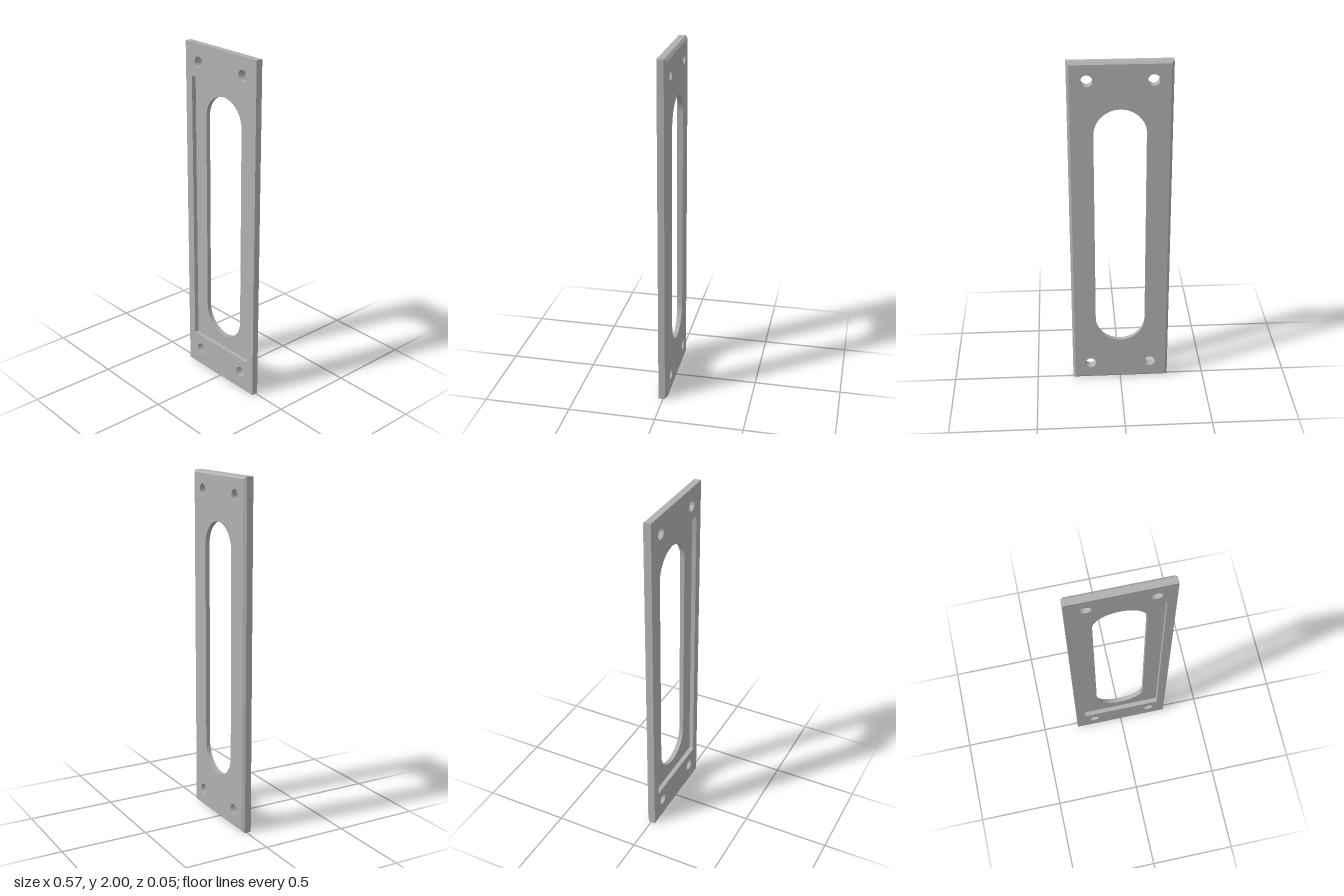
import * as THREE from 'three';
import { toCreasedNormals } from 'three/addons/utils/BufferGeometryUtils.js';

const WIDTH = 0.57, HEIGHT = 2, FRONT = 0.026, BACK = -0.026, FLOOR = 0, CHAMFER = 0.014;

// Counter-clockwise rounded rectangle; a radius of half the width gives a slot or a circle
function loop(w, h, r = 0, cx = 0, cy = 1, steps = 16) {
  const points = [];
  const corners = [[1, 1], [-1, 1], [-1, -1], [1, -1]];
  corners.forEach(([sx, sy], k) => {
    for (let i = 0; i <= (r ? steps : 0); i++) {
      const a = (k + i / steps) * Math.PI / 2;
      const p = new THREE.Vector2(
        cx + sx * (w / 2 - r) + r * Math.cos(a) * (r ? 1 : 0),
        cy + sy * (h / 2 - r) + r * Math.sin(a) * (r ? 1 : 0));
      const repeated = points.some((q) => q.distanceTo(p) < 1e-5);
      if (!repeated) points.push(p);
    }
  });
  return points;
}

// Flat face with holes
function face(outline, holes, z, backward = false) {
  const shape = new THREE.Shape(outline);
  shape.holes = holes.map((h) => new THREE.Path(h));
  const geometry = new THREE.ShapeGeometry(shape);
  if (backward) geometry.scale(-1, 1, 1).rotateY(Math.PI).scale(1, 1, 1);
  if (backward) {
    // Scale and turn leave the outline in place, so only the winding is reversed
    const index = geometry.index.array;
    for (let i = 0; i < index.length; i += 3) [index[i], index[i + 1]] = [index[i + 1], index[i]];
    geometry.computeVertexNormals();
  }
  return geometry.translate(0, 0, z);
}

// Wall joining a front loop to a back loop; inward walls line a hole
function wall(front, zFront, back, zBack, inward = false) {
  const positions = [];
  const n = front.length;
  for (let i = 0; i < n; i++) {
    const j = (i + 1) % n;
    const a = [front[i].x, front[i].y, zFront], b = [back[i].x, back[i].y, zBack];
    const c = [back[j].x, back[j].y, zBack], d = [front[j].x, front[j].y, zFront];
    const quad = inward ? [a, c, b, a, d, c] : [a, b, c, a, c, d];
    positions.push(...quad.flat());
  }
  const geometry = new THREE.BufferGeometry();
  geometry.setAttribute('position', new THREE.Float32BufferAttribute(positions, 3));
  return toCreasedNormals(geometry, Math.PI / 6);
}

export function createModel() {
  const group = new THREE.Group();
  group.name = 'flushPullPlate';
  const metal = new THREE.MeshStandardMaterial({ color: 0xb0b0b0 });
  metal.name = 'grey metal';
  const add = (name, geometry) => {
    const mesh = new THREE.Mesh(geometry, metal);
    mesh.name = name;
    group.add(mesh);
  };

  const outer = loop(WIDTH, HEIGHT);
  const backEdge = loop(WIDTH - 2 * CHAMFER, HEIGHT - 2 * CHAMFER);
  const recess = loop(0.47, 1.615, 0.008, 0, 1.003, 4);
  const slot = loop(0.29, 1.466, 0.145, 0, 1.003, 20);
  const screwHoles = [];
  for (const x of [-0.178, 0.178]) {
    for (const y of [0.108, 1.897]) screwHoles.push(loop(0.064, 0.064, 0.032, x, y, 8));
  }

  // Faces
  add('frontFace', face(outer, [recess, ...screwHoles], FRONT));
  add('recessFloor', face(recess, [slot], FLOOR));
  add('backFace', face(backEdge, [slot, ...screwHoles], BACK, true));

  // Outer rim and chamfer around the back
  add('rim', wall(outer, FRONT, outer, BACK + CHAMFER));
  add('backChamfer', wall(outer, BACK + CHAMFER, backEdge, BACK));

  // Openings
  add('recessWall', wall(recess, FRONT, recess, FLOOR, true));
  add('slotWall', wall(slot, FLOOR, slot, BACK, true));
  screwHoles.forEach((h) => add('screwHole', wall(h, FRONT, h, BACK, true)));

  return group;
}
